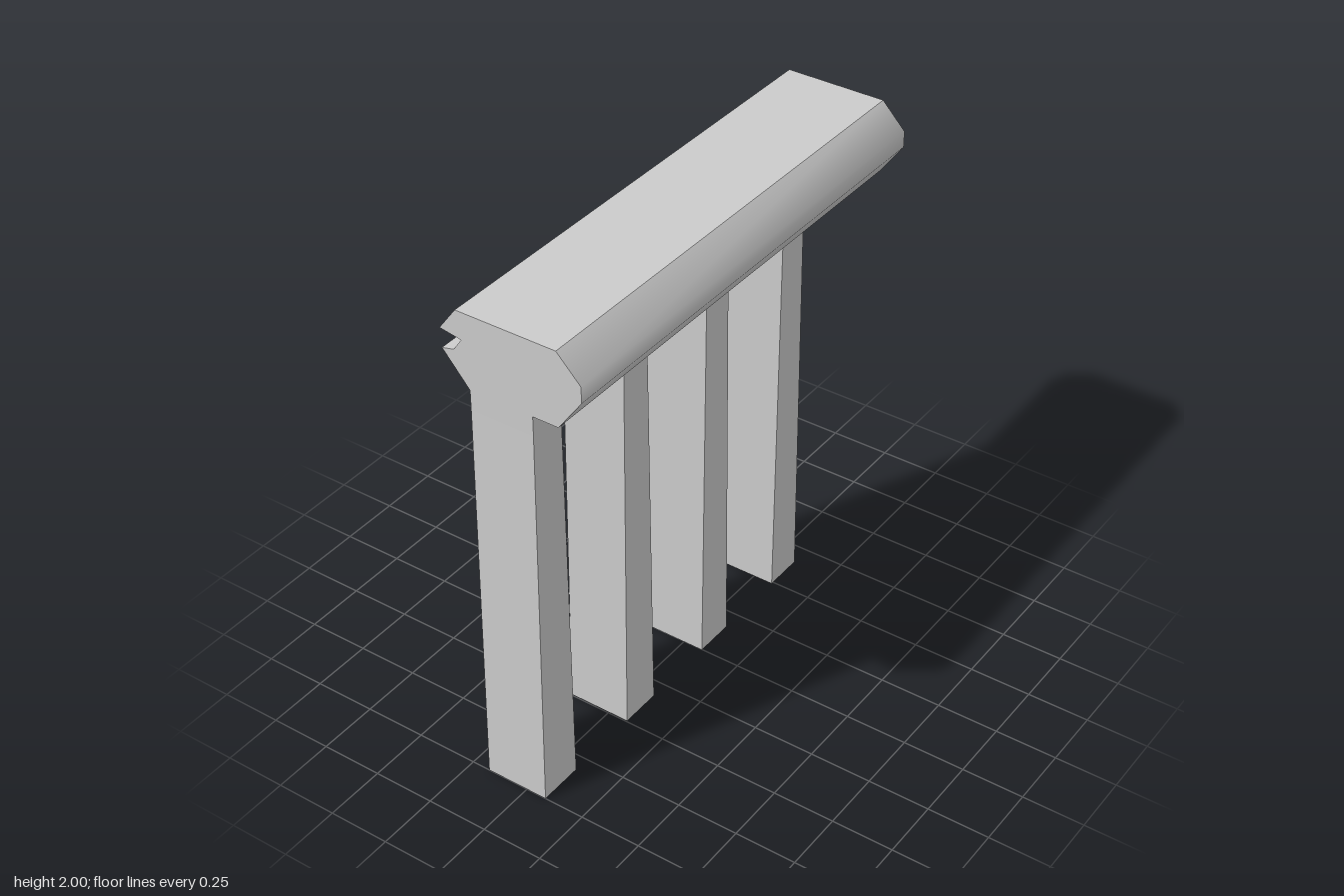
import * as THREE from 'three';
import { toCreasedNormals } from 'three/addons/utils/BufferGeometryUtils.js';

const UNDERSIDE = 1.62, LEFT = 0.085, RIGHT = -0.175;
const BEAM_FRONT = 0.98, BEAM_BACK = -1;

// Tapered post, open at both ends: z ranges [front, back] at top and at foot
function postGeometry(top, foot) {
  const geo = new THREE.BoxGeometry(LEFT - RIGHT, UNDERSIDE, 1);
  // Keep the four walls only (drop the top and bottom faces)
  geo.setIndex(Array.from(geo.index.array).filter((_, i) => i < 12 || i >= 24));
  geo.clearGroups();
  geo.translate((LEFT + RIGHT) / 2, UNDERSIDE / 2, 0);
  const p = geo.attributes.position;
  for (let i = 0; i < p.count; i++) {
    const range = p.getY(i) > UNDERSIDE / 2 ? top : foot;
    p.setZ(i, p.getZ(i) > 0 ? range[0] : range[1]);
  }
  geo.computeVertexNormals();
  return geo;
}

export function createModel() {
  const model = new THREE.Group();
  const material = new THREE.MeshStandardMaterial({ color: 0xcccccc, side: THREE.DoubleSide });

  // Rail: bevelled section with a notch on its right and a rib underneath
  const section = new THREE.Shape([
    [-0.22, 2], [-0.29, 1.905], [-0.2, 1.89], [-0.235, 1.84], [-0.285, 1.828],
    [RIGHT, 1.7], [RIGHT, UNDERSIDE], [LEFT, UNDERSIDE], [LEFT, 1.7],
    [0.19, 1.7], [0.287, 1.835], [0.287, 1.9], [0.19, 2],
  ].map(([x, y]) => new THREE.Vector2(x, y)));
  const railGeo = new THREE.ExtrudeGeometry(section, { depth: BEAM_FRONT - BEAM_BACK, bevelEnabled: false });
  railGeo.translate(0, 0, BEAM_BACK);
  const rail = new THREE.Mesh(toCreasedNormals(railGeo, 0.78), material);
  rail.name = 'rail';
  model.add(rail);

  // Posts: [top range], [foot range] along z
  const posts = new THREE.Group();
  posts.name = 'posts';
  [
    [[0.98, 0.83], [1, 0.815]],
    [[0.48, 0.342], [0.496, 0.323]],
    [[-0.016, -0.152], [0.002, -0.168]],
    [[-0.507, -0.643], [-0.49, -0.658]],
  ].forEach(([top, foot], i) => {
    const post = new THREE.Mesh(postGeometry(top, foot), material);
    post.name = `post${i + 1}`;
    posts.add(post);
  });
  model.add(posts);
  return model;
}
